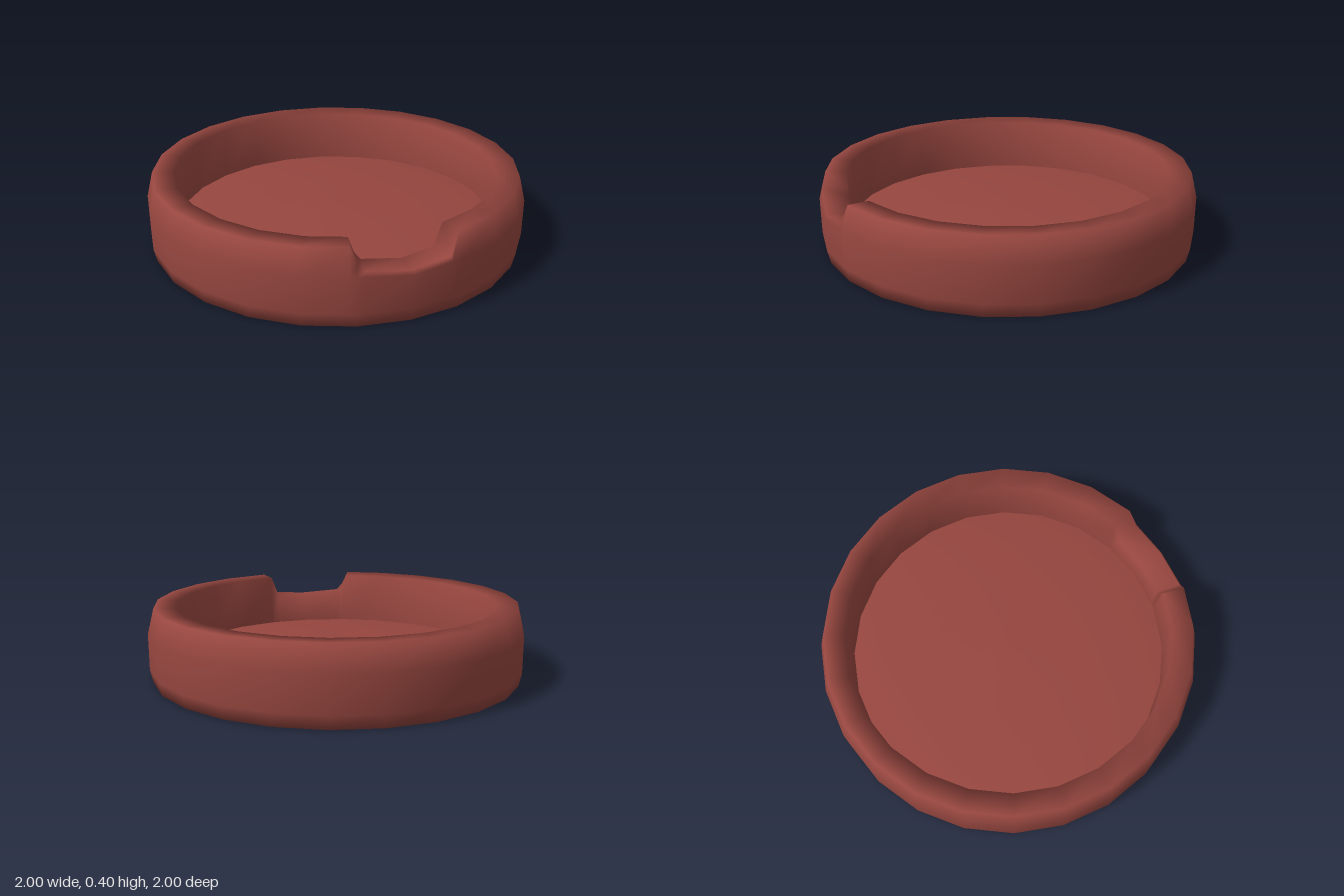
import * as THREE from 'three';

const SIDES = 24;
const STEP = 360 / SIDES;
const TOP = 0.395;

// Angles (degrees, from +x towards +z), with extra steps for the steep notch sides
const angles = Array.from({ length: SIDES }, (_, i) => i * STEP);
angles.push(33, 58, 62);
angles.sort((a, b) => a - b);

// Rim height: level all round, except for the single notch at the front corner
function rimHeight(deg) {
  const off = Math.abs(deg - 46);
  if (off < 2) return 0.262;
  return THREE.MathUtils.lerp(0.28, TOP, THREE.MathUtils.clamp((off - 13) / 3, 0, 1));
}

// Wall cross-section from under the base, up the outside, over the rim and down the inside
function section(deg) {
  const top = rimHeight(deg);
  const outer = top < TOP ? 0.985 : 0.967;
  return [
    [0.982, 0],
    [0.998, 0.07],
    [1, Math.min(0.26, top - 0.02)],
    [outer, top],
    [0.852, top - 0.005],
    [0.845, 0.1],
  ];
}

function bowlGeometry() {
  const positions = [0, 0, 0];
  const index = [];
  const rows = 6;
  const n = angles.length;
  angles.forEach((deg) => {
    // keep extra points on the straight edges of the regular polygon
    const inStep = THREE.MathUtils.degToRad((deg % STEP) - STEP / 2);
    const chord = Math.cos(THREE.MathUtils.degToRad(STEP / 2)) / Math.cos(inStep);
    const a = THREE.MathUtils.degToRad(deg);
    for (const [r, y] of section(deg)) {
      positions.push(r * chord * Math.cos(a), y, r * chord * Math.sin(a));
    }
  });
  const id = (i, j) => 1 + (i % n) * rows + j;
  for (let i = 0; i < n; i++) {
    index.push(0, id(i, 0), id(i + 1, 0)); // underside fan
    for (let j = 0; j < rows - 1; j++) {
      index.push(id(i, j), id(i, j + 1), id(i + 1, j));
      index.push(id(i + 1, j), id(i, j + 1), id(i + 1, j + 1));
    }
  }
  const geometry = new THREE.BufferGeometry();
  geometry.setAttribute('position', new THREE.Float32BufferAttribute(positions, 3));
  geometry.setIndex(index);
  geometry.computeVertexNormals();
  return geometry;
}

export function createModel() {
  const group = new THREE.Group();
  group.name = 'notchedBowl';
  const clay = new THREE.MeshStandardMaterial({ color: 0x96463f });
  clay.name = 'red clay';

  // Outer wall, rim, inner wall and underside
  const wall = new THREE.Mesh(bowlGeometry(), clay);
  wall.name = 'bowlWall';
  group.add(wall);

  // Inside floor, gently domed like a cushion
  const dome = [[0.85, 0.112], [0.7, 0.135], [0.4, 0.155], [0, 0.163]];
  const floor = new THREE.Mesh(
    new THREE.LatheGeometry(dome.map(([r, y]) => new THREE.Vector2(r, y)), SIDES),
    clay
  );
  floor.name = 'bowlFloor';
  group.add(floor);

  return group;
}
